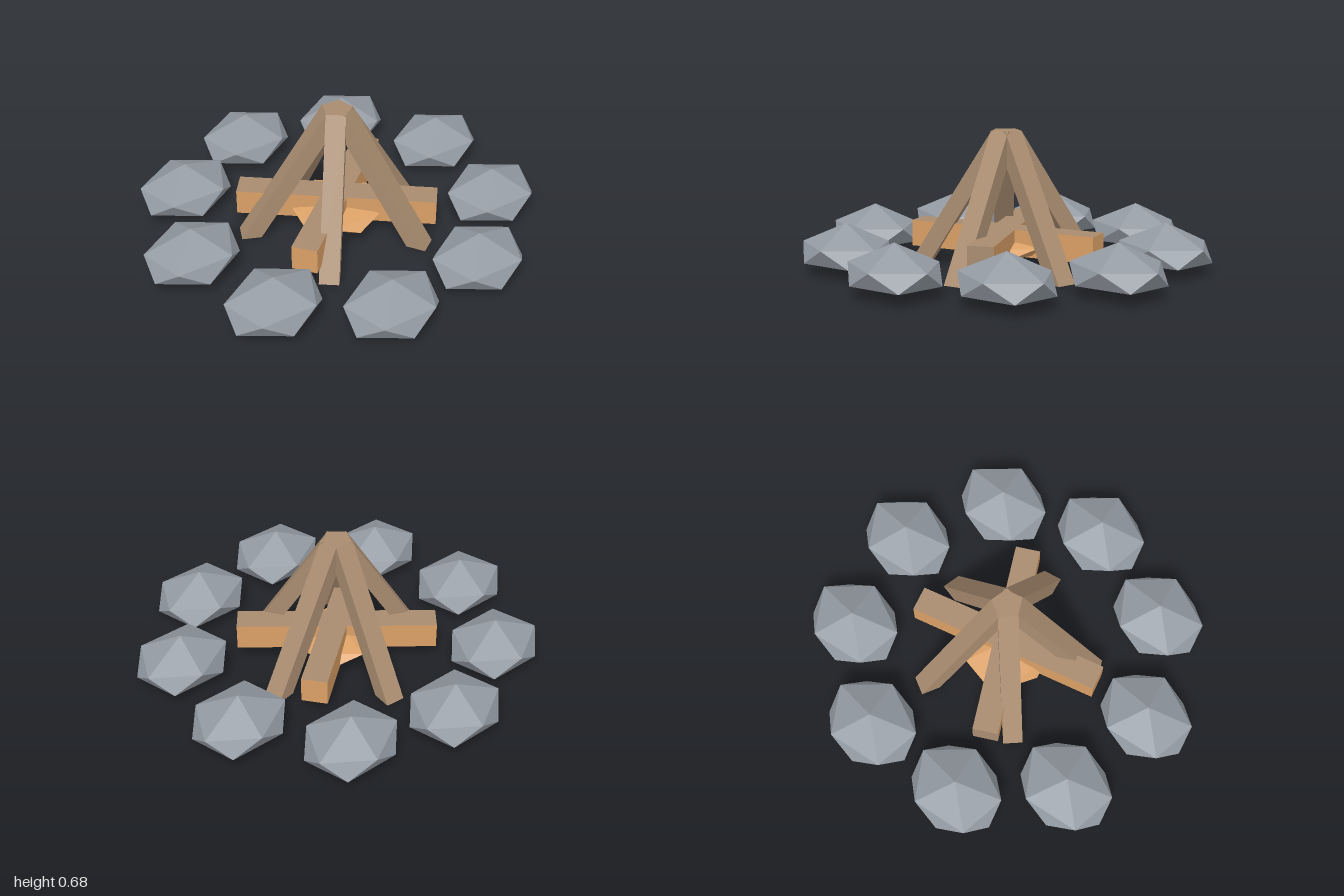
import * as THREE from 'three';
import { ConvexGeometry } from 'three/addons/geometries/ConvexGeometry.js';

const material = (name, color) => {
  const m = new THREE.MeshStandardMaterial({ color });
  m.name = name;
  return m;
};

// Flat-bottomed faceted lump: a peak over two twisted five-sided rings
function lumpGeometry(rx, rz, ringY, peakY) {
  const points = [new THREE.Vector3(0, peakY, 0)];
  for (let i = 0; i < 5; i++) {
    const a = (i * Math.PI * 2) / 5;
    const b = a + Math.PI / 5;
    points.push(new THREE.Vector3(rx * Math.cos(a), ringY, rz * Math.sin(a)));
    points.push(new THREE.Vector3(rx * Math.cos(b), 0, rz * Math.sin(b)));
  }
  return new ConvexGeometry(points);
}

// Square pole leaning inwards, with level cuts at both ends
function poleGeometry(height, width, footRadius, topRadius) {
  const geometry = new THREE.BoxGeometry(width, height, width);
  geometry.translate(0, height / 2, 0);
  const p = geometry.attributes.position;
  for (let i = 0; i < p.count; i++) {
    const t = p.getY(i) / height;
    p.setX(i, p.getX(i) + footRadius + (topRadius - footRadius) * t);
  }
  geometry.computeVertexNormals();
  return geometry;
}

export function createModel() {
  const stone = material('stone', 0x949ba3);
  const bark = material('bark', 0xa98c70);
  const wood = material('cut wood', 0xdba066);

  const model = new THREE.Group();
  model.name = 'campfire';
  const centreX = -0.022;

  const add = (name, geometry, mat, x, y, z, turn = 0) => {
    const mesh = new THREE.Mesh(geometry, mat);
    mesh.name = name;
    mesh.position.set(x, y, z);
    mesh.rotation.y = turn;
    model.add(mesh);
    return mesh;
  };

  // Ring of stones, all facing the same way
  const stoneGeometry = lumpGeometry(0.242, 0.205, 0.083, 0.185);
  for (let i = 0; i < 9; i++) {
    const a = (i * Math.PI * 2) / 9;
    add('stone' + (i + 1), stoneGeometry, stone,
      centreX + 0.78 * Math.cos(a), 0.064, 0.78 * Math.sin(a));
  }

  // Leaning poles meeting at the top
  const pole = poleGeometry(0.68, 0.097, 0.436, 0.013);
  [4.5, 71, 143, 218, 289].forEach((deg, i) => {
    add('leaningPole' + (i + 1), pole, bark, centreX, 0, 0, -THREE.MathUtils.degToRad(deg));
  });

  // Two crossed logs with bark along the top; box face order is +x -x +y -y +z -z
  const log = new THREE.BoxGeometry(0.985, 0.13, 0.127);
  add('crossedLogFront', log, [bark, bark, bark, wood, wood, wood],
    centreX, 0.14, 0, -THREE.MathUtils.degToRad(54));
  add('crossedLogSide', log, [wood, wood, bark, wood, wood, wood],
    centreX, 0.14, 0.003, THREE.MathUtils.degToRad(23.3));

  // Low heap of kindling under the logs
  add('kindlingHeap', lumpGeometry(0.226, 0.226, 0.04, 0.08), wood, centreX, 0.085, 0);

  return model;
}
